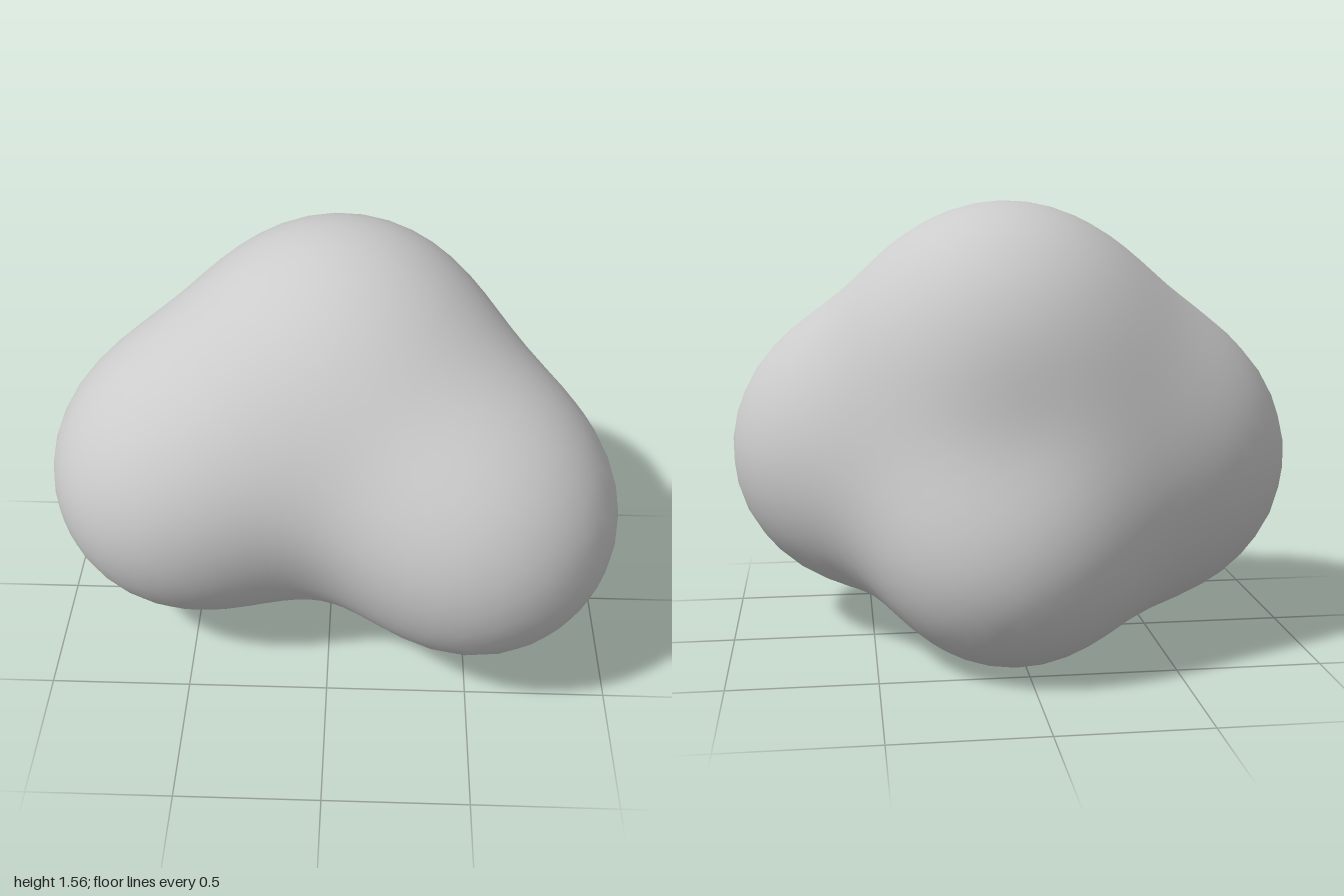
import * as THREE from 'three';
import { mergeVertices } from 'three/addons/utils/BufferGeometryUtils.js';

// Lobes and dents of the blob: x, y, z, radius, sign
const LOBES = [
  [0.03, 1.06, -0.09, 0.47, 1], // top
  [-0.51, 0.635, 0.045, 0.475, 1], // right
  [0.51, 0.64, 0.265, 0.47, 1], // left front
  [0.05, 0.395, -0.36, 0.355, 1], // lower back
  [-0.08, 0.42, 0.75, -0.125, -1], // dent in the front
  [0.05, 0.85, -0.85, -0.125, -1], // dent in the back
  [0.1, -0.05, 0.15, -0.125, -1], // dent underneath
].map(([x, y, z, radius, sign]) => ({ centre: new THREE.Vector3(x, y, z), radius, sign }));
const SHARPNESS = 4.8;
const CORE = new THREE.Vector3(0, 0.7, 0);

// Blended field of all lobes, equal to 1 on the surface
const field = (p) =>
  LOBES.reduce((sum, l) => sum + l.sign * Math.exp(-SHARPNESS * (p.distanceTo(l.centre) - l.radius)), 0);

// Point where a ray from the core meets the surface
function surfacePoint(dir) {
  const p = new THREE.Vector3();
  let near = 0, far = 1.8;
  for (let i = 0; i < 30; i++) {
    const mid = (near + far) / 2;
    p.copy(CORE).addScaledVector(dir, mid);
    if (field(p) > 1) near = mid;
    else far = mid;
  }
  return p;
}

export function createModel() {
  // Even sphere with shared vertices for smooth shading
  let geometry = new THREE.IcosahedronGeometry(1, 11);
  geometry.deleteAttribute('uv');
  geometry.deleteAttribute('normal');
  geometry = mergeVertices(geometry, 1e-4);

  // Push every vertex out to the blended surface
  const pos = geometry.attributes.position;
  const dir = new THREE.Vector3();
  for (let i = 0; i < pos.count; i++) {
    const p = surfacePoint(dir.fromBufferAttribute(pos, i).normalize());
    pos.setXYZ(i, p.x, p.y, p.z);
  }

  // Centre it and stand it on the ground
  geometry.computeBoundingBox();
  const { min, max } = geometry.boundingBox;
  geometry.translate(-(min.x + max.x) / 2, -min.y, -(min.z + max.z) / 2);
  geometry.computeVertexNormals();

  const blob = new THREE.Mesh(geometry, new THREE.MeshStandardMaterial({ color: 0xcccccc }));
  blob.name = 'blob';
  const group = new THREE.Group();
  group.name = 'lobedBlob';
  group.add(blob);
  return group;
}
